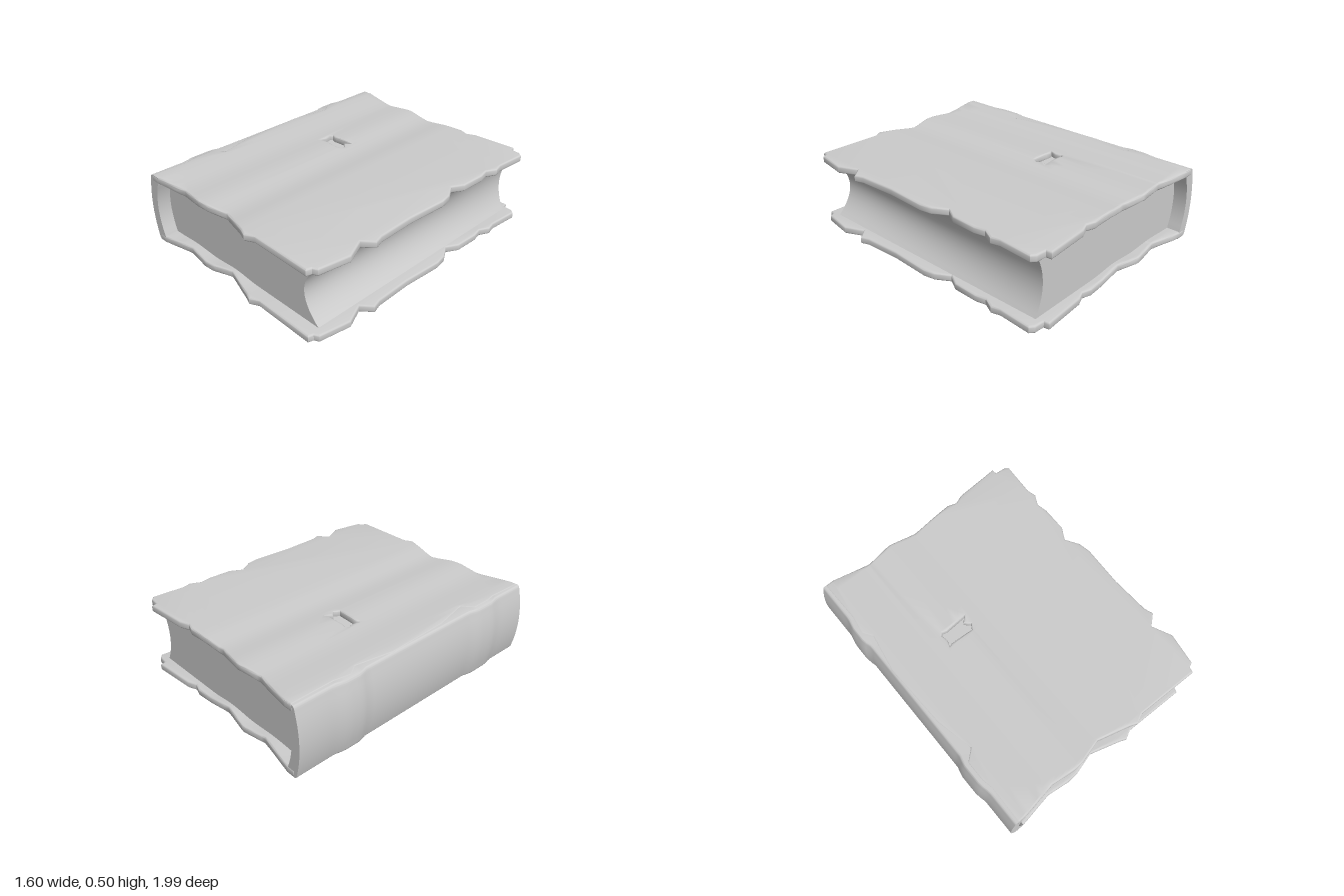
import * as THREE from 'three';
import { toCreasedNormals } from 'three/addons/utils/BufferGeometryUtils.js';

const material = new THREE.MeshStandardMaterial({ color: 0xcccccc });

// Ragged outline of a cover board, as [x, z]
const OUTLINE = [
  [-0.73, -1], [-0.67, -1], [-0.41, -0.95], [-0.23, -0.975], [-0.04, -0.94], [0.26, -0.96],
  [0.32, -0.94], [0.38, -0.965], [0.68, -0.985], [0.685, -0.95], [0.75, -0.945], [0.78, -0.92],
  [0.765, -0.7], [0.78, -0.64], [0.745, -0.57], [0.76, -0.5], [0.755, -0.33], [0.71, -0.25],
  [0.765, -0.16], [0.78, -0.08], [0.765, 0.2], [0.775, 0.46], [0.795, 0.52], [0.725, 0.58],
  [0.785, 0.71], [0.75, 0.92], [0.72, 0.935], [0.71, 0.97], [0.28, 0.96], [0.22, 0.99],
  [0.17, 0.97], [-0.04, 0.91], [-0.19, 0.95], [-0.27, 0.955], [-0.43, 0.935], [-0.68, 0.975],
  [-0.73, 0.975], [-0.725, 0.72], [-0.74, 0.65], [-0.74, 0.51], [-0.67, 0.45], [-0.728, 0.2],
  [-0.745, -0.25], [-0.70, -0.51], [-0.745, -0.58], [-0.725, -0.7],
];
// Small torn slot through each cover
const SLOT = [
  [-0.355, -0.235], [-0.34, -0.25], [-0.31, -0.24], [-0.16, -0.25], [-0.195, -0.215],
  [-0.16, -0.18], [-0.18, -0.145], [-0.34, -0.155], [-0.36, -0.145], [-0.345, -0.19],
];
// How far the covers sag inwards along x
const SAG = [[-0.68, 0], [-0.44, 0.011], [-0.24, 0.003], [-0.04, 0.015], [0.17, 0]];
// How far the spine bulges outwards along z
const BULGE = [[-0.73, 0], [-0.63, 0.016], [-0.53, 0.016], [-0.47, 0], [0.44, 0], [0.51, 0.016], [0.64, 0.016], [0.74, 0]];

// Smooth interpolation in a table of [position, value]
function sample(table, t) {
  if (t <= table[0][0]) return table[0][1];
  for (let i = 1; i < table.length; i++) {
    const [a, va] = table[i - 1], [b, vb] = table[i];
    if (t <= b) return va + (vb - va) * THREE.MathUtils.smoothstep(t, a, b);
  }
  return table[table.length - 1][1];
}

const toPoints = (list) => list.map(([x, y]) => new THREE.Vector2(x, y));

// Move every vertex by a rule
function reshape(geometry, rule) {
  const p = geometry.attributes.position, v = new THREE.Vector3();
  for (let i = 0; i < p.count; i++) {
    rule(v.fromBufferAttribute(p, i));
    p.setXYZ(i, v.x, v.y, v.z);
  }
  return geometry;
}

// Cut all triangles along planes of constant x, so that a flat cap can bend
function sliceX(geometry, cuts) {
  const p = geometry.attributes.position;
  let tris = [];
  for (let i = 0; i < p.count; i += 3) {
    tris.push([0, 1, 2].map((k) => new THREE.Vector3().fromBufferAttribute(p, i + k)));
  }
  for (const cut of cuts) {
    const next = [];
    for (const tri of tris) {
      const xs = tri.map((v) => v.x);
      if (Math.max(...xs) <= cut + 1e-6 || Math.min(...xs) >= cut - 1e-6) { next.push(tri); continue; }
      for (const side of [-1, 1]) {
        const poly = [];
        tri.forEach((a, k) => {
          const b = tri[(k + 1) % 3];
          if ((a.x - cut) * side >= 0) poly.push(a);
          if ((a.x - cut) * (b.x - cut) < 0) poly.push(a.clone().lerp(b, (cut - a.x) / (b.x - a.x)));
        });
        for (let k = 2; k < poly.length; k++) next.push([poly[0], poly[k - 1], poly[k]]);
      }
    }
    tris = next;
  }
  return new THREE.BufferGeometry().setFromPoints(tris.flat());
}

function addPart(group, name, geometry, crease) {
  geometry.deleteAttribute('uv');
  const mesh = new THREE.Mesh(toCreasedNormals(geometry, crease), material);
  mesh.name = name;
  group.add(mesh);
}

// Cover board: side is 1 for the top, -1 for the bottom
function coverGeometry(side) {
  const shape = new THREE.Shape(toPoints(OUTLINE));
  shape.holes.push(new THREE.Path(toPoints(SLOT)));
  const bevel = 0.012, depth = 0.05 - 2 * bevel;
  const flat = new THREE.ExtrudeGeometry(shape, {
    depth, bevelThickness: bevel, bevelSize: bevel, bevelOffset: -bevel, bevelSegments: 3,
  });
  flat.translate(0, 0, -depth / 2).rotateX(Math.PI / 2);
  const cuts = [];
  for (let x = -0.68; x < 0.2; x += 0.0425) cuts.push(x);
  return reshape(sliceX(flat, cuts), (v) => {
    v.y += 0.25 + side * (0.225 - sample(SAG, v.x));
  });
}

// Curved spine, swept along z with worn bulges
function spineGeometry() {
  const shape = new THREE.Shape();
  shape.moveTo(-0.67, 0.003);
  shape.lineTo(-0.735, 0.003);
  shape.quadraticCurveTo(-0.75, 0.004, -0.755, 0.03);
  shape.quadraticCurveTo(-0.815, 0.25, -0.755, 0.47);
  shape.quadraticCurveTo(-0.75, 0.496, -0.735, 0.497);
  shape.lineTo(-0.67, 0.497);
  shape.lineTo(-0.68, 0.45);
  shape.quadraticCurveTo(-0.76, 0.25, -0.68, 0.05);
  const geometry = new THREE.ExtrudeGeometry(shape, { depth: 1.972, steps: 60, curveSegments: 10, bevelEnabled: false });
  geometry.translate(0, 0, -0.998);
  return reshape(geometry, (v) => {
    if (v.x < -0.73) v.x -= sample(BULGE, v.z);
  });
}

// Page block with a hollow fore-edge, deeper at the front than at the back
function pagesGeometry() {
  const shape = new THREE.Shape();
  shape.moveTo(-0.685, 0.045);
  shape.lineTo(0.705, 0.045);
  shape.quadraticCurveTo(0.475, 0.25, 0.705, 0.455);
  shape.lineTo(-0.685, 0.455);
  shape.quadraticCurveTo(-0.775, 0.25, -0.685, 0.045);
  const geometry = new THREE.ExtrudeGeometry(shape, { depth: 1.785, steps: 8, curveSegments: 14, bevelEnabled: false });
  geometry.translate(0, 0, -0.905);
  return reshape(geometry, (v) => {
    if (v.x > 0.5) v.x += (0.705 - v.x) * 0.5 * (0.88 - v.z) / 1.785;
  });
}

export function createModel() {
  const book = new THREE.Group();
  book.name = 'wornBook';
  addPart(book, 'topCover', coverGeometry(1), 0.6);
  addPart(book, 'bottomCover', coverGeometry(-1), 0.6);
  addPart(book, 'spine', spineGeometry(), 0.6);
  addPart(book, 'pages', pagesGeometry(), 0.6);
  return book;
}
